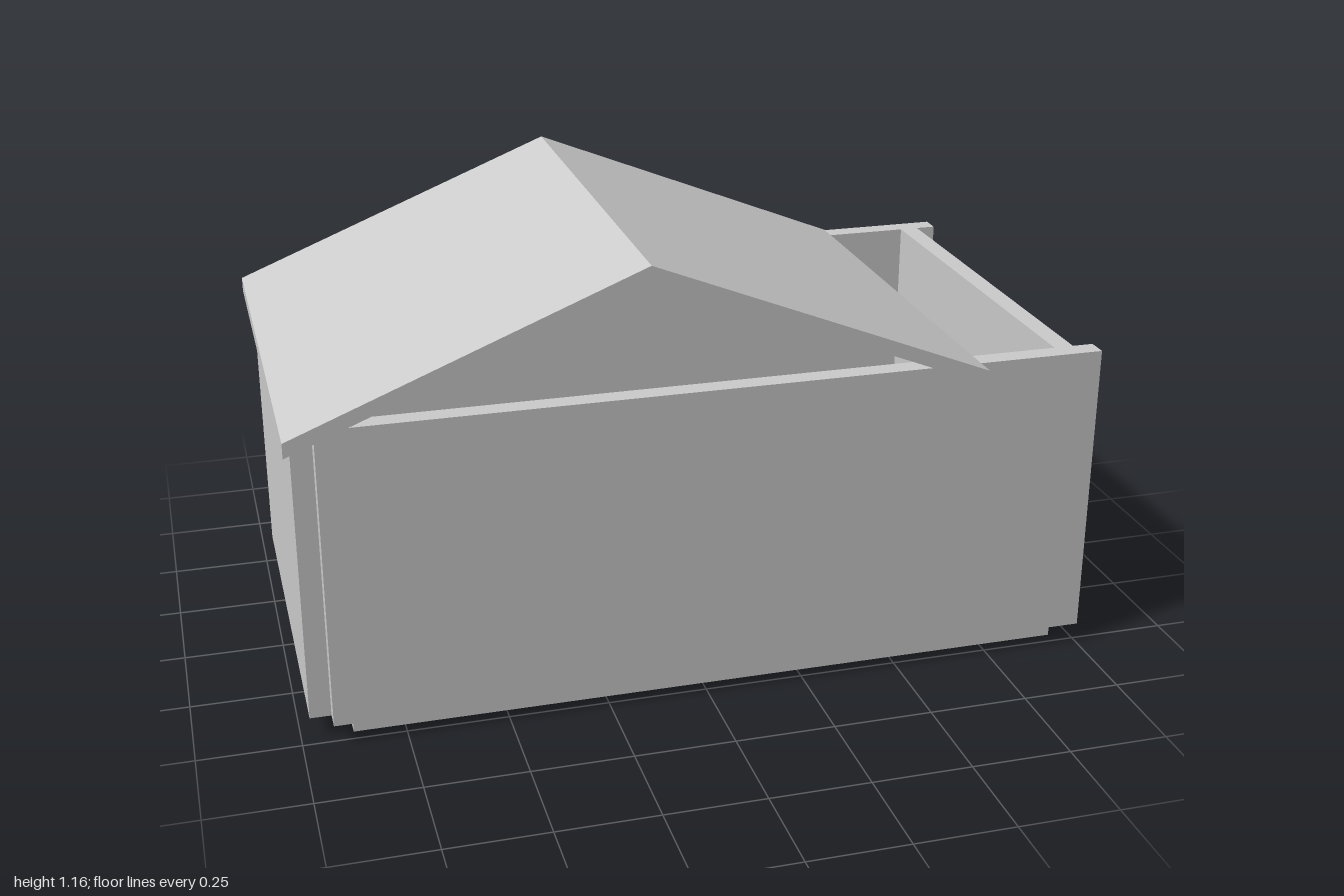
import * as THREE from 'three';

export function createModel() {
  const model = new THREE.Group();
  const grey = new THREE.MeshStandardMaterial({ color: 0xcccccc });
  grey.name = 'light grey';

  // Box given by its limits on each axis
  const panel = (name, [x0, x1], [y0, y1], [z0, z1]) => {
    const mesh = new THREE.Mesh(new THREE.BoxGeometry(x1 - x0, y1 - y0, z1 - z0), grey);
    mesh.position.set((x0 + x1) / 2, (y0 + y1) / 2, (z0 + z1) / 2);
    mesh.name = name;
    model.add(mesh);
  };

  const wallY = [0.053, 0.812];
  const innerZ = [-0.544, 0.469];

  // Floor slab and the four offset walls
  panel('floor', [-0.875, 0.947], [0, 0.053], innerZ);
  panel('frontWall', [-0.925, 1], wallY, [0.469, 0.52]);
  panel('backWall', [-0.925, 1], wallY, [-0.595, -0.544]);
  panel('leftEndWall', [0.897, 0.947], wallY, innerZ);
  panel('rightEndWall', [-0.977, -0.925], wallY, innerZ);

  // Gabled roof: a thin chevron extruded along z
  const profile = new THREE.Shape([
    [-1, 0.785], [-0.166, 1.12], [0.668, 0.785],
    [0.668, 0.822], [-0.166, 1.157], [-1, 0.822],
  ].map(([x, y]) => new THREE.Vector2(x, y)));
  const roof = new THREE.Mesh(
    new THREE.ExtrudeGeometry(profile, { depth: 1.164, bevelEnabled: false }), grey);
  roof.position.z = -0.569;
  roof.name = 'roof';
  model.add(roof);

  return model;
}
